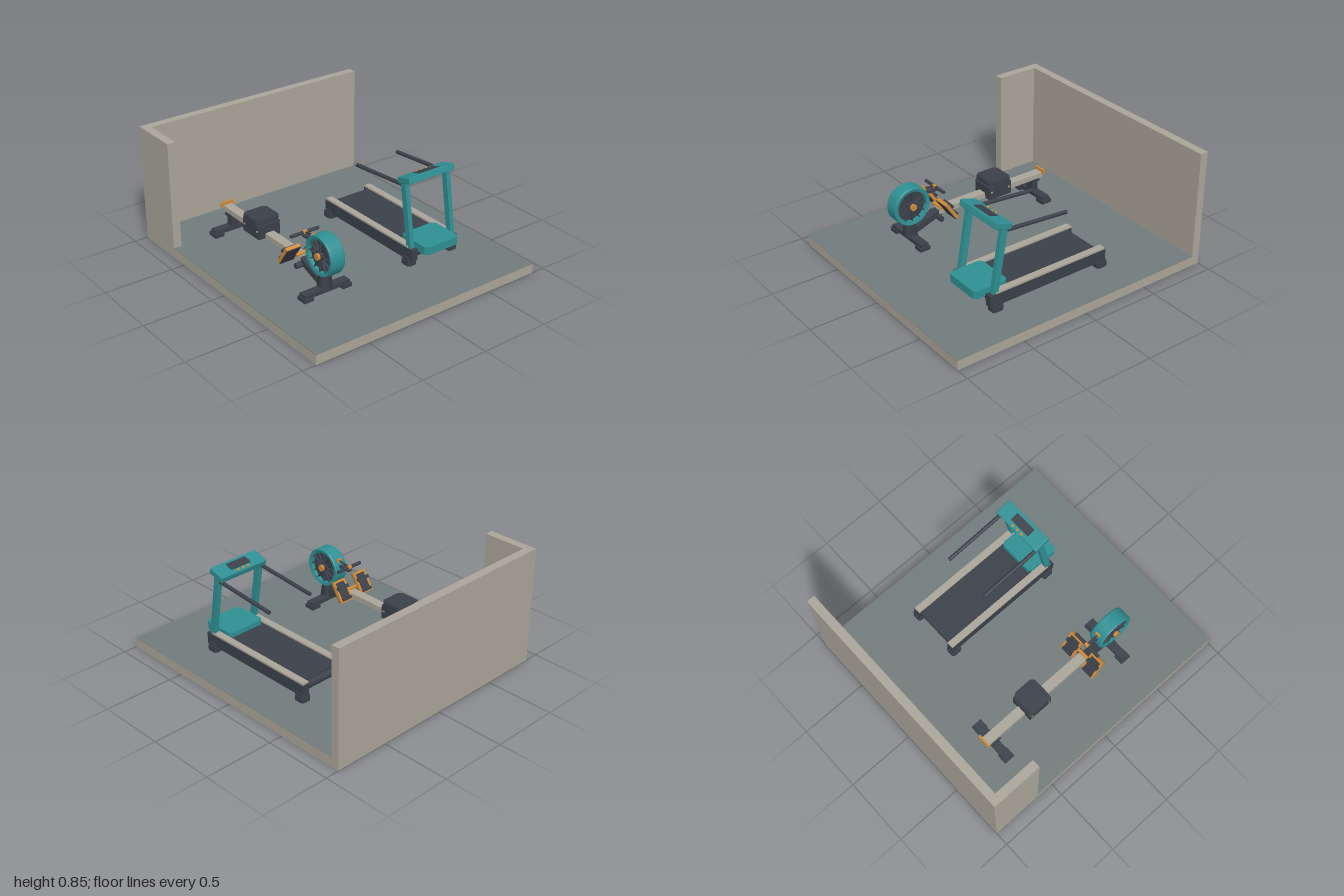
import * as THREE from 'three';
import { RoundedBoxGeometry } from 'three/addons/geometries/RoundedBoxGeometry.js';

const mat = (name, color) => {
  const m = new THREE.MeshStandardMaterial({ color });
  m.name = name;
  return m;
};

export function createModel() {
  const wallMat = mat('warm grey', 0xaaa599);
  const floorMat = mat('slate floor', 0x727b7b);
  const dark = mat('charcoal', 0x3b4049);
  const teal = mat('teal', 0x2f8f93);
  const orange = mat('orange', 0xd08936);
  const model = new THREE.Group();

  const group = (name, x = 0, y = 0, z = 0, parent = model) => {
    const g = new THREE.Group();
    g.name = name;
    g.position.set(x, y, z);
    parent.add(g);
    return g;
  };
  const add = (parent, name, geo, m, x = 0, y = 0, z = 0) => {
    const o = new THREE.Mesh(geo, m);
    o.name = name;
    o.position.set(x, y, z);
    parent.add(o);
    return o;
  };
  // Box given by its x, y and z ranges
  const box = (parent, name, m, x0, x1, y0, y1, z0, z1) =>
    add(parent, name, new THREE.BoxGeometry(x1 - x0, y1 - y0, z1 - z0), m,
      (x0 + x1) / 2, (y0 + y1) / 2, (z0 + z1) / 2);
  // Box or round bar running between two points in the yz plane
  const bar = (parent, name, m, x, w, t, [y0, z0], [y1, z1], round = false) => {
    const len = Math.hypot(y1 - y0, z1 - z0);
    const geo = round ? new THREE.CylinderGeometry(w / 2, w / 2, len, 14) : new THREE.BoxGeometry(w, len, t);
    const o = add(parent, name, geo, m, x, (y0 + y1) / 2, (z0 + z1) / 2);
    o.rotation.x = Math.atan2(z1 - z0, y1 - y0);
    return o;
  };
  const rod = (parent, name, m, r, len, y, z, sides = 16) => {
    const o = add(parent, name, new THREE.CylinderGeometry(r, r, len, sides), m, 0, y, z);
    o.rotation.z = Math.PI / 2;
    return o;
  };
  // Horizontal slab with bevelled corners in plan
  const slab = (parent, name, m, w, h, d, c, x, y, z) => {
    const a = w / 2, b = d / 2;
    const s = new THREE.Shape([[-a + c, -b], [a - c, -b], [a, -b + c], [a, b - c],
      [a - c, b], [-a + c, b], [-a, b - c], [-a, -b + c]].map(p => new THREE.Vector2(...p)));
    const geo = new THREE.ExtrudeGeometry(s, { depth: h, bevelEnabled: false });
    geo.rotateX(-Math.PI / 2);
    return add(parent, name, geo, m, x, y, z);
  };

  // Room corner
  const room = group('room');
  box(room, 'floorSlab', wallMat, -0.9, 0.9, 0, 0.07, -1, 1);
  box(room, 'floorMat', floorMat, -0.84, 0.9, 0.069, 0.072, -0.94, 1);
  box(room, 'floorMatSide', floorMat, -0.9, -0.84, 0.069, 0.072, -0.63, 1);
  box(room, 'backWall', wallMat, -0.9, 0.9, 0.07, 0.85, -1, -0.94);
  box(room, 'sideWall', wallMat, -0.9, -0.84, 0.07, 0.85, -0.94, -0.63);

  // Treadmill
  const mill = group('treadmill', 0.422);
  box(mill, 'deck', dark, -0.15, 0.15, 0.125, 0.185, -0.36, 0.52);
  box(mill, 'belt', dark, -0.142, 0.142, 0.185, 0.196, -0.355, 0.4);
  for (const z of [-0.355, 0.5]) rod(mill, 'beltRoller', dark, 0.03, 0.29, 0.157, z);
  for (const s of [-1, 1]) {
    const side = group('treadmillSide', 0, 0, 0, mill);
    box(side, 'sideFrame', dark, s * 0.175 - 0.025, s * 0.175 + 0.025, 0.11, 0.195, -0.4, 0.55);
    box(side, 'footRail', wallMat, s * 0.173 - 0.025, s * 0.173 + 0.025, 0.195, 0.208, -0.395, 0.5);
    for (const z of [-0.368, 0.495]) {
      slab(side, 'foot', dark, 0.074, 0.04, 0.085, 0.012, s * 0.179, 0.07, z);
      slab(side, 'footBracket', dark, 0.06, 0.02, 0.07, 0.01, s * 0.179, 0.11, z);
    }
    bar(side, 'upright', teal, s * 0.177, 0.033, 0.045, [0.195, 0.505], [0.655, 0.43]);
    bar(side, 'handrail', dark, s * 0.177, 0.027, 0.027, [0.625, 0.43], [0.585, -0.07], true);
  }
  slab(mill, 'motorCover', teal, 0.29, 0.058, 0.26, 0.022, 0, 0.173, 0.5);

  // Tilted console with screen and buttons
  const panel = group('console', 0, 0.665, 0.438, mill);
  panel.rotation.x = -0.3;
  add(panel, 'consoleBody', new RoundedBoxGeometry(0.39, 0.045, 0.125, 2, 0.006), teal);
  box(panel, 'screen', dark, -0.083, 0.083, 0.022, 0.027, -0.025, 0.037);
  for (const x of [-0.042, 0, 0.042])
    add(panel, 'button', new THREE.CylinderGeometry(0.009, 0.009, 0.008, 12), orange, x, 0.025, -0.045);
  box(mill, 'consoleCrossbar', dark, -0.165, 0.165, 0.632, 0.652, 0.405, 0.425);

  // Rowing machine
  const rower = group('rowingMachine', -0.43);
  box(rower, 'slideRail', wallMat, -0.034, 0.034, 0.21, 0.248, -0.675, 0.235);
  box(rower, 'railEndCap', orange, -0.048, 0.048, 0.235, 0.27, -0.688, -0.673);

  // Floor stands
  for (const [z, w] of [[-0.61, 0.34], [0.46, 0.376]]) {
    const stand = group('stand', 0, 0, z, rower);
    box(stand, 'standBar', dark, -w / 2 + 0.01, w / 2 - 0.01, 0.092, 0.122, -0.031, 0.031);
    for (const s of [-1, 1]) {
      const c = s * (w / 2 - 0.036);
      box(stand, 'standFoot', dark, c - 0.036, c + 0.036, 0.07, 0.1, -0.04, 0.04);
    }
  }
  box(rower, 'rearPost', dark, -0.032, 0.032, 0.12, 0.212, -0.632, -0.582);
  box(rower, 'rearPostCollar', dark, -0.045, 0.045, 0.195, 0.212, -0.64, -0.575);
  const post = add(rower, 'frontPost', new THREE.CylinderGeometry(0.04, 0.055, 0.12, 4, 1), dark, 0, 0.17, 0.46);
  post.geometry.rotateY(Math.PI / 4);
  bar(rower, 'frontBrace', dark, 0, 0.06, 0.045, [0.14, 0.46], [0.225, 0.21]);
  rod(rower, 'footCrossbar', dark, 0.02, 0.145, 0.19, 0.24, 8);

  // Flywheel: open rim, fan disc, blades and hub
  const wheel = group('flywheel', 0, 0.356, 0.463, rower);
  const rimPts = [[0.113, -0.05], [0.136, -0.055], [0.142, -0.046], [0.142, 0.046],
    [0.136, 0.055], [0.113, 0.05], [0.113, -0.05]].map(p => new THREE.Vector2(...p));
  const rimGeo = new THREE.LatheGeometry(rimPts, 40).toNonIndexed();
  rimGeo.computeVertexNormals();
  add(wheel, 'rim', rimGeo, teal).rotation.z = Math.PI / 2;
  rod(wheel, 'fanDisc', dark, 0.106, 0.06, 0, 0, 40);
  for (let i = 0; i < 12; i++) {
    const spoke = group('spoke', 0, 0, 0, wheel);
    spoke.rotation.x = i * Math.PI / 6;
    box(spoke, 'fanBlade', dark, -0.046, 0.046, 0.02, 0.118, -0.003, 0.003);
  }
  rod(wheel, 'hub', orange, 0.024, 0.14, 0, 0, 16);
  rod(wheel, 'hubCollar', dark, 0.035, 0.104, 0, 0, 16);

  // Pull handle, its rest and the chain
  box(rower, 'handleRest', dark, -0.015, 0.015, 0.39, 0.408, 0.235, 0.345);
  box(rower, 'chainGuide', orange, -0.02, 0.02, 0.425, 0.45, 0.335, 0.35);
  bar(rower, 'chain', dark, 0, 0.01, 0.01, [0.438, 0.345], [0.422, 0.245]);
  rod(rower, 'handle', dark, 0.012, 0.22, 0.42, 0.245);
  rod(rower, 'handleClamp', orange, 0.015, 0.03, 0.42, 0.245);

  // Foot plates sloping towards the seat
  rod(rower, 'plateLink', orange, 0.012, 0.11, 0.262, 0.225);
  const frame = new THREE.Shape();
  frame.moveTo(-0.055, -0.08).lineTo(0.055, -0.08).lineTo(0.055, 0.08).lineTo(-0.055, 0.08).closePath();
  const hole = new THREE.Path();
  hole.moveTo(-0.04, -0.065).lineTo(-0.04, 0.065).lineTo(0.04, 0.065).lineTo(0.04, -0.065).closePath();
  frame.holes.push(hole);
  const frameGeo = new THREE.ExtrudeGeometry(frame, { depth: 0.024, bevelEnabled: false });
  for (const s of [-1, 1]) {
    const plate = group('footPlate', s * 0.1, 0.282, 0.212, rower);
    plate.rotation.x = 0.6;
    add(plate, 'plateFrame', frameGeo, orange, 0, 0, -0.012);
    box(plate, 'platePad', dark, -0.04, 0.04, -0.065, 0.065, -0.01, 0.01);
    box(plate, 'plateBack', dark, -0.054, 0.054, -0.079, 0.079, 0.012, 0.017);
    box(plate, 'footStrap', dark, -0.05, 0.05, 0.01, 0.035, -0.034, -0.012);
    box(plate, 'heelCup', dark, -0.042, 0.042, -0.072, -0.05, -0.026, -0.01);
  }

  // Sliding seat
  const seat = group('seat', 0, 0, -0.253, rower);
  box(seat, 'carriage', dark, -0.085, 0.085, 0.212, 0.3, -0.095, 0.095);
  slab(seat, 'carriageTop', dark, 0.18, 0.012, 0.198, 0.01, 0, 0.298, 0);
  slab(seat, 'seatSupport', dark, 0.15, 0.012, 0.15, 0.015, 0, 0.308, 0);
  slab(seat, 'seatPad', dark, 0.192, 0.028, 0.186, 0.025, 0, 0.318, 0);
  slab(seat, 'seatPadTop', dark, 0.176, 0.006, 0.17, 0.025, 0, 0.345, 0);
  for (const s of [-1, 1]) for (const z of [-0.075, 0.075])
    box(seat, 'carriageBolt', wallMat, s * 0.086 - 0.003, s * 0.086 + 0.003, 0.263, 0.273, z - 0.007, z + 0.007);

  return model;
}
